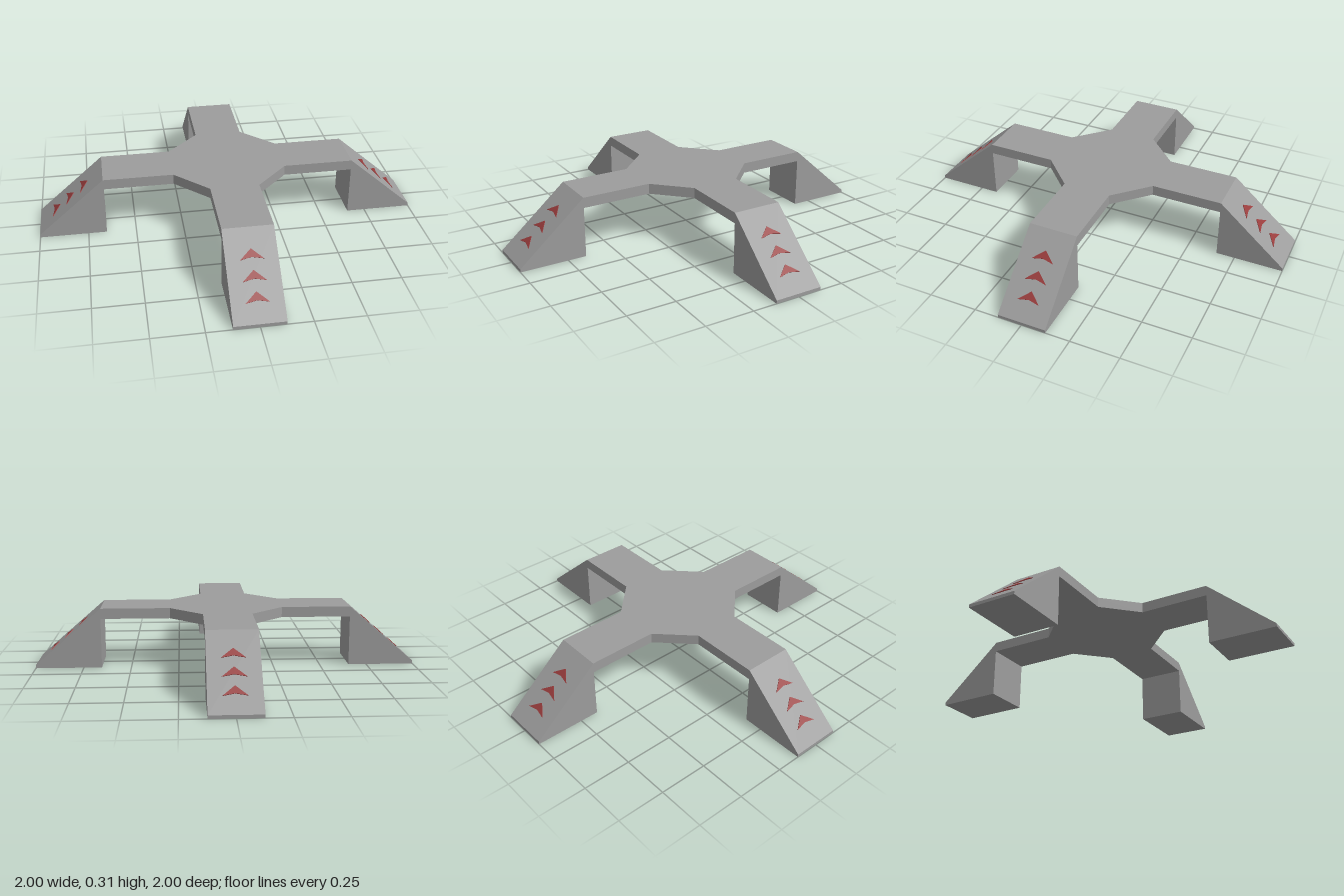
import * as THREE from 'three';

const HALF = 0.125, INNER = 0.655, TOP = 0.315, UNDER = 0.261, LIP = 0.016, CHAMFER = 0.293;

function polygon(points) {
  return new THREE.Shape(points.map(([x, y]) => new THREE.Vector2(x, y)));
}

function extrude(shape, depth) {
  return new THREE.ExtrudeGeometry(shape, { depth, bevelEnabled: false });
}

export function createModel() {
  const model = new THREE.Group();
  model.name = 'crossBridge';
  const grey = new THREE.MeshStandardMaterial({ color: 0x9c9c9c, flatShading: true });
  const red = new THREE.MeshStandardMaterial({ color: 0x983c3c, flatShading: true });

  // Cross-shaped deck with chamfered inner corners
  const outline = [];
  for (let i = 0; i < 4; i++) {
    const a = i * Math.PI / 2, c = Math.cos(a), s = Math.sin(a);
    for (const [x, y] of [[CHAMFER, -HALF], [INNER, -HALF], [INNER, HALF], [CHAMFER, HALF]]) {
      outline.push([x * c - y * s, x * s + y * c]);
    }
  }
  const deckGeometry = extrude(polygon(outline), TOP - UNDER);
  deckGeometry.rotateX(-Math.PI / 2).translate(0, UNDER, 0);
  const deck = new THREE.Mesh(deckGeometry, grey);
  deck.name = 'deck';
  model.add(deck);

  // Wedge ramp at the end of the +x arm
  const rampGeometry = extrude(polygon([[INNER, 0], [1, 0], [1, LIP], [INNER, TOP]]), HALF * 2);
  rampGeometry.translate(0, 0, -HALF);

  // Arrow lying on the slope, pointing up towards the deck
  const arrowGeometry = extrude(polygon([[0, 0], [-0.053, 0.057], [-0.041, 0], [-0.053, -0.057]]), 0.003);
  const up = new THREE.Vector3(INNER - 1, TOP - LIP, 0).normalize();
  const across = new THREE.Vector3(0, 0, 1);
  const normal = new THREE.Vector3().crossVectors(up, across);
  const slope = new THREE.Matrix4().makeBasis(up, across, normal).setPosition(1, LIP, 0);
  arrowGeometry.applyMatrix4(slope);

  // Four ramps, each with three arrows
  for (const [i, side] of ['left', 'back', 'right', 'front'].entries()) {
    const arm = new THREE.Group();
    arm.name = side + 'Ramp';
    arm.rotation.y = i * Math.PI / 2;
    const ramp = new THREE.Mesh(rampGeometry, grey);
    ramp.name = 'ramp';
    arm.add(ramp);
    for (const distance of [0.15, 0.25, 0.352]) {
      const arrow = new THREE.Mesh(arrowGeometry, red);
      arrow.name = 'arrow';
      arrow.position.copy(up).multiplyScalar(distance);
      arm.add(arrow);
    }
    model.add(arm);
  }
  return model;
}
